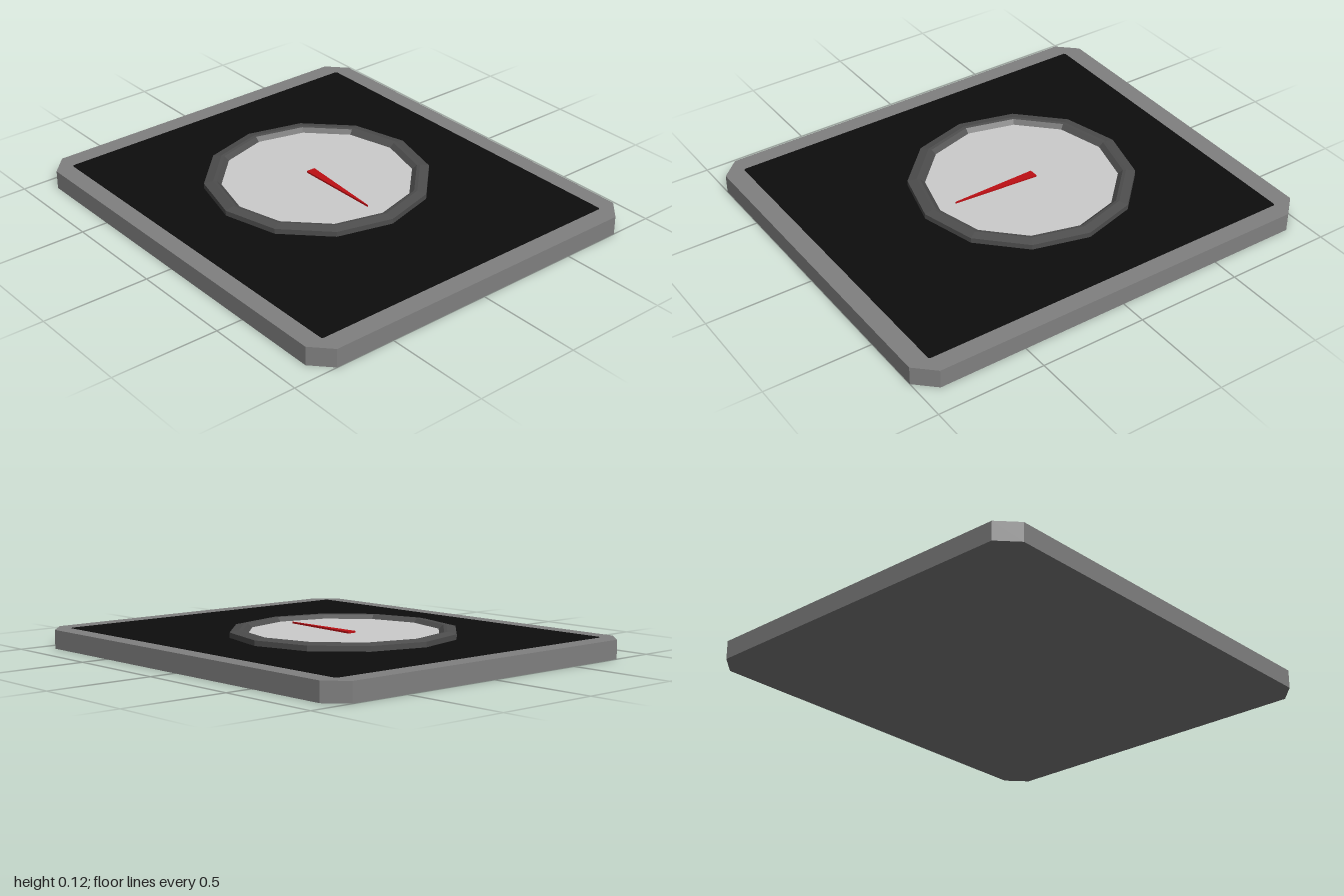
import * as THREE from 'three';

const mat = (name, color) => new THREE.MeshStandardMaterial({ name, color, flatShading: true });

// Flat outline given as [x, z] points, raised from y by height
function slab(name, points, y, height, material) {
  const shape = new THREE.Shape(points.map(([x, z]) => new THREE.Vector2(x, -z)));
  const geo = new THREE.ExtrudeGeometry(shape, { depth: height, bevelEnabled: false });
  geo.rotateX(-Math.PI / 2);
  const mesh = new THREE.Mesh(geo, material);
  mesh.name = name;
  mesh.position.y = y;
  return mesh;
}

// Rectangle with cut corners
function cutRect(w, d, cx, cz) {
  return [
    [w - cx, d], [w, d - cz], [w, cz - d], [w - cx, -d],
    [cx - w, -d], [-w, cz - d], [-w, d - cz], [cx - w, d],
  ];
}

export function createModel() {
  const frameGrey = mat('frameGrey', 0x808080);
  const panelBlack = mat('panelBlack', 0x0d0d0d);
  const bezelGrey = mat('bezelGrey', 0x4d4d4d);
  const dialGrey = mat('dialGrey', 0xcccccc);
  const needleRed = mat('needleRed', 0xbe0f14);

  const model = new THREE.Group();
  model.name = 'gaugePanel';

  // Base plate and inset panel
  model.add(slab('basePlate', cutRect(1, 0.875, 0.09, 0.085), 0, 0.087, frameGrey));
  model.add(slab('frontPanel', cutRect(0.908, 0.79, 0.006, 0.006), 0.086, 0.003, panelBlack));

  // Twelve-sided gauge, set off centre
  const gauge = new THREE.Group();
  gauge.name = 'gauge';
  gauge.position.x = -0.09;
  model.add(gauge);

  const profile = [[0.517, 0.087], [0.517, 0.113], [0.475, 0.122], [0.46, 0.12], [0.437, 0.1]]
    .map(([r, y]) => new THREE.Vector2(r, y));
  const bezel = new THREE.Mesh(new THREE.LatheGeometry(profile, 12), bezelGrey);
  bezel.name = 'bezel';
  gauge.add(bezel);

  const dial = new THREE.Mesh(new THREE.CylinderGeometry(0.438, 0.438, 0.014, 12), dialGrey);
  dial.name = 'dial';
  dial.position.y = 0.095;
  gauge.add(dial);

  // Tapered pointer
  gauge.add(slab('needle', [[-0.06, 0.014], [0.355, 0.005], [0.355, 0.002], [-0.06, -0.03]], 0.102, 0.008, needleRed));

  return model;
}
